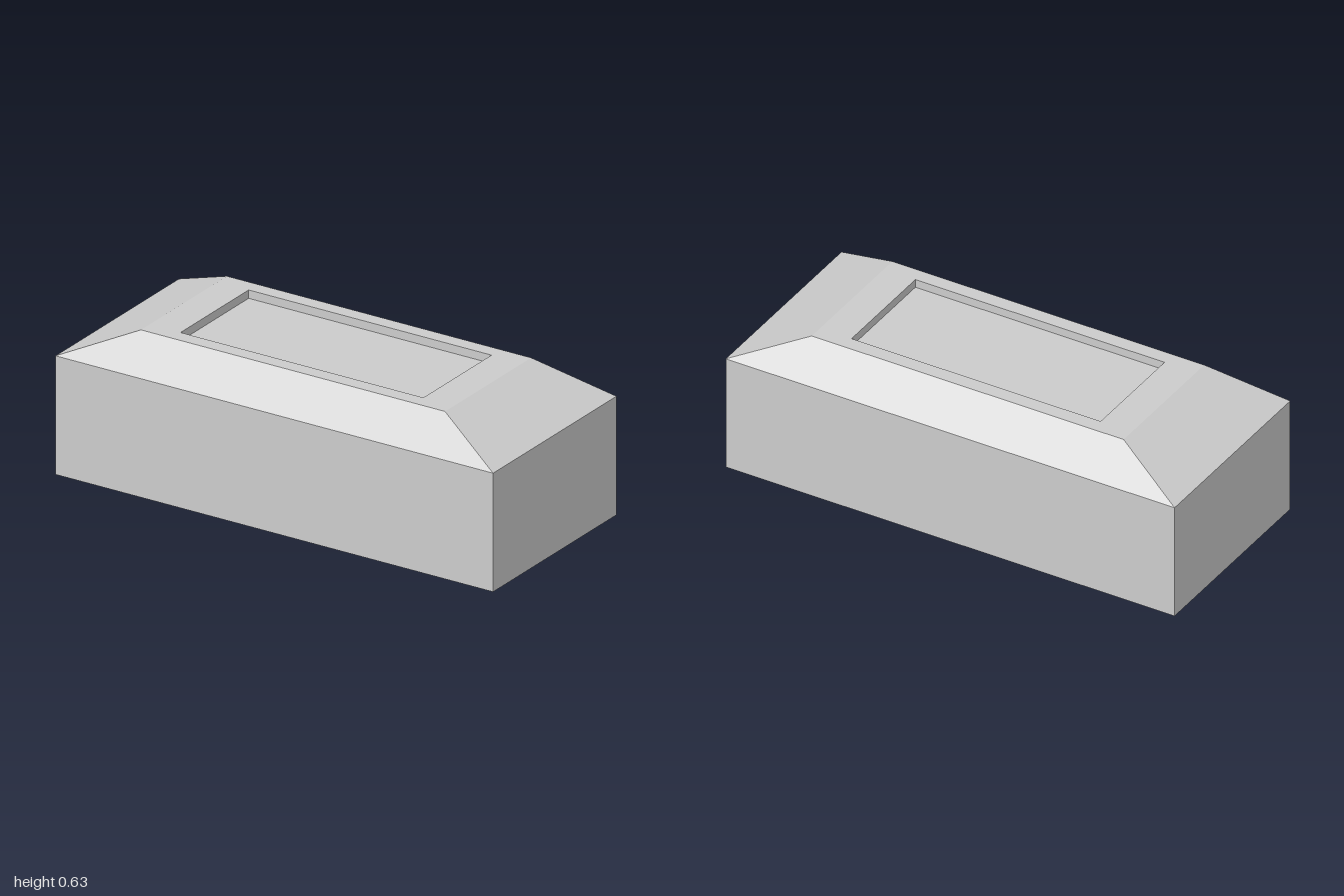
import * as THREE from 'three';

// Four corners of a horizontal rectangle, anticlockwise seen from above
const ring = (w, d, y) =>
  [[-1, 1], [1, 1], [1, -1], [-1, -1]].map(([sx, sz]) => [sx * w / 2, y, sz * d / 2]);

const quad = (a, b, c, d) => [a, b, c, a, c, d].flat();

// Bands of flat faces joining each ring to the next
function bands(...rings) {
  const out = [];
  for (let r = 0; r < rings.length - 1; r++) {
    const lo = rings[r], hi = rings[r + 1];
    for (let i = 0; i < 4; i++) {
      const j = (i + 1) % 4;
      out.push(...quad(lo[i], lo[j], hi[j], hi[i]));
    }
  }
  return out;
}

export function createModel() {
  const group = new THREE.Group();
  const material = new THREE.MeshStandardMaterial({ color: 0xcccccc, flatShading: true });

  const add = (name, positions) => {
    const geometry = new THREE.BufferGeometry();
    geometry.setAttribute('position', new THREE.Float32BufferAttribute(positions, 3));
    geometry.computeVertexNormals();
    const mesh = new THREE.Mesh(geometry, material);
    mesh.name = name;
    group.add(mesh);
  };

  const base = ring(2, 0.86, 0);
  const shoulder = ring(2, 0.86, 0.497);
  const top = ring(1.39, 0.6, 0.632);
  const rim = ring(1.11, 0.475, 0.632);
  const floor = ring(1.11, 0.475, 0.597);

  // Straight walls and underside
  add('body', [...bands(base, shoulder), ...quad(...[...base].reverse())]);
  // Sloping sides and the flat border on top
  add('bevelledTop', bands(shoulder, top, rim));
  // Shallow rectangular tray sunk into the top
  add('recess', [...bands(rim, floor), ...quad(...floor)]);

  return group;
}
